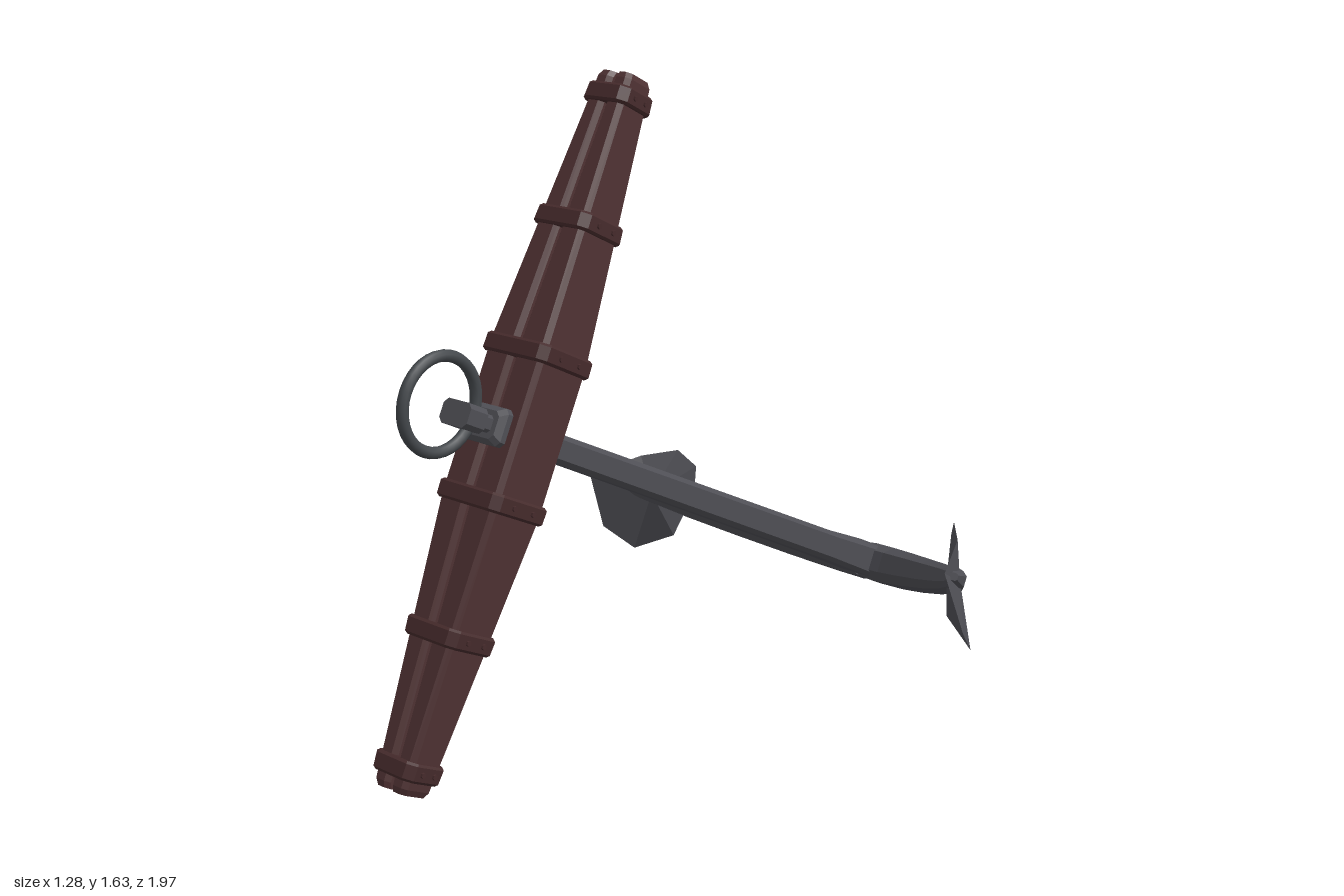
import * as THREE from 'three';

const mat = (name, color, flatShading = true) => {
  const m = new THREE.MeshStandardMaterial({ color, flatShading });
  m.name = name;
  return m;
};

// Skin a list of equal-length rings (arrays of [x, y, z]); the end rings are capped.
function loft(rings) {
  const pos = [];
  const V = (p) => new THREE.Vector3(...p);
  let volume = 0;
  const tris = [];
  const tri = (a, b, c) => {
    const A = V(a), B = V(b), C = V(c);
    if (B.clone().sub(A).cross(C.clone().sub(A)).length() < 1e-9) return;
    volume += A.dot(B.clone().cross(C));
    tris.push([a, b, c]);
  };
  const n = rings[0].length;
  for (let i = 0; i < rings.length - 1; i++) {
    for (let j = 0; j < n; j++) {
      const k = (j + 1) % n, p = rings[i], q = rings[i + 1];
      tri(p[j], p[k], q[k]);
      tri(p[j], q[k], q[j]);
    }
  }
  const first = rings[0], last = rings[rings.length - 1];
  for (let j = 1; j < n - 1; j++) {
    tri(first[0], first[j + 1], first[j]);
    tri(last[0], last[j], last[j + 1]);
  }
  // Turn all faces outward
  for (const [a, b, c] of tris) pos.push(...a, ...(volume > 0 ? b : c), ...(volume > 0 ? c : b));
  const g = new THREE.BufferGeometry();
  g.setAttribute('position', new THREE.Float32BufferAttribute(pos, 3));
  g.computeVertexNormals();
  return g;
}

// Rectangle with cut corners, half sizes a and b
const oct = (a, b, c) => [
  [a, b - c], [a - c, b], [c - a, b], [-a, b - c],
  [-a, c - b], [c - a, -b], [a - c, -b], [a, c - b],
];

export function createModel() {
  const wood = mat('dark wood', 0x4e3132);
  const hoop = mat('wood band', 0x452a2b);
  const iron = mat('iron', 0x4f4f55);
  const ringIron = mat('ring iron', 0x43474b, false);

  const model = new THREE.Group();
  model.name = 'anchor';
  const body = new THREE.Group(); // shank along y, arms along x, stock along z
  body.name = 'tiltedAnchor';
  body.rotation.x = THREE.MathUtils.degToRad(63.6);
  body.position.set(0, 0.822, 0.558);
  model.add(body);
  const add = (name, geometry, material) => {
    const m = new THREE.Mesh(geometry, material);
    m.name = name;
    body.add(m);
    return m;
  };
  const Z = 0.012; // plane of shank and arms

  // Stock: two tapered planks with a narrow gap
  const stations = [
    [-0.887, 0.048, 0.041], [-0.872, 0.055, 0.047], [-0.19, 0.094, 0.084],
    [0.19, 0.094, 0.084], [0.872, 0.055, 0.047], [0.887, 0.048, 0.041],
  ];
  for (const s of [1, -1]) {
    const rings = stations.map(([z, hx, hy]) => {
      const w = (hx - 0.004) / 2;
      return oct(w, hy, 0.012).map(([x, y]) => [s * (x + w + 0.004), y, z]);
    });
    add(s > 0 ? 'leftStockPlank' : 'rightStockPlank', loft(rings), wood);
  }

  // Bands around the stock, with bolt heads on the sides
  const sizeAt = (z) => {
    const t = Math.max(0, (Math.abs(z) - 0.19) / 0.682);
    return [0.094 - 0.039 * t, 0.084 - 0.037 * t];
  };
  for (const z of [-0.83, -0.51, -0.182, 0.182, 0.51, 0.83]) {
    const rings = [[-0.023, 0.008], [-0.017, 0.013], [0.017, 0.013], [0.023, 0.008]].map(([dz, o]) => {
      const [hx, hy] = sizeAt(z + dz);
      return oct(hx + o, hy + o, 0.02).map(([x, y]) => [x, y, z + dz]);
    });
    add('stockBand', loft(rings), hoop);
    const [hx, hy] = sizeAt(z);
    for (const s of [1, -1]) for (const t of [1, -1]) {
      const bolt = add('bandBolt', new THREE.CylinderGeometry(0.007, 0.007, 0.008, 6), hoop);
      bolt.rotation.z = Math.PI / 2;
      bolt.position.set(s * (hx + 0.014), t * hy * 0.4, z);
    }
  }

  // Shank pieces stacked along y: [y, half width, half depth]
  const column = (name, list, material, c = 0.012) =>
    add(name, loft(list.map(([y, a, b]) => oct(a, b, c).map(([x, z]) => [x, y, z + Z]))), material);
  column('shank', [[-1.64, 0.064, 0.048], [-1.35, 0.058, 0.041], [0.09, 0.041, 0.034]], iron);
  column('shankCollar', [[-0.1, 0.05, 0.043], [-0.07, 0.05, 0.043]], hoop);
  column('headCollar', [[0.07, 0.064, 0.046], [0.1, 0.064, 0.046], [0.115, 0.05, 0.034]], iron);
  column('headNeck', [[0.1, 0.036, 0.021], [0.15, 0.036, 0.021]], iron, 0.008);
  column('ringEye', [[0.145, 0.046, 0.03], [0.205, 0.046, 0.03]], iron);

  // Ring
  const ring = add('ring', new THREE.TorusGeometry(0.113, 0.0145, 10, 36).rotateY(Math.PI / 2), ringIron);
  ring.position.set(0, 0.26, 0.006);

  // Curved arms: [outer x, outer y, inner x, inner y, half depth]
  const arm = [
    [0.004, -1.69, 0.004, -1.55, 0.05], [0.03, -1.706, 0.03, -1.55, 0.054],
    [0.13, -1.685, 0.1, -1.53, 0.053], [0.25, -1.6, 0.19, -1.475, 0.049],
    [0.38, -1.48, 0.32, -1.385, 0.042], [0.49, -1.355, 0.435, -1.285, 0.034],
    [0.575, -1.215, 0.532, -1.185, 0.024], [0.618, -1.1, 0.597, -1.09, 0.01],
  ];
  // Fluke outline, from the tip round the heel
  const rim = [
    [0.624, -1.022, 0.014], [0.56, -1.143, -0.085], [0.49, -1.215, -0.134], [0.455, -1.277, -0.105],
    [0.457, -1.308, -0.03], [0.49, -1.315, 0.11], [0.603, -1.293, 0.18], [0.64, -1.168, 0.146],
  ];
  for (const s of [1, -1]) {
    const side = s > 0 ? 'left' : 'right';
    const armRings = arm.map(([ox, oy, ix, iy, h]) => {
      const at = (t, z) => [s * (ox + (ix - ox) * t), oy + (iy - oy) * t, Z + z];
      return [at(0, h * 0.6), at(0.2, h), at(0.75, h), at(1, h * 0.55),
        at(1, -h * 0.55), at(0.75, -h), at(0.2, -h), at(0, -h * 0.6)];
    });
    add(side + 'Arm', loft(armRings), iron);

    // Spade plate, slightly thicker along its middle
    const flip = ([x, y, z]) => [s * x, y, z];
    const hub = (p) => rim.map(() => flip(p));
    add(side + 'Fluke', loft([hub([0.525, -1.2, 0.012]), rim.map(flip), hub([0.555, -1.222, 0.014])]), iron);
  }
  return model;
}
